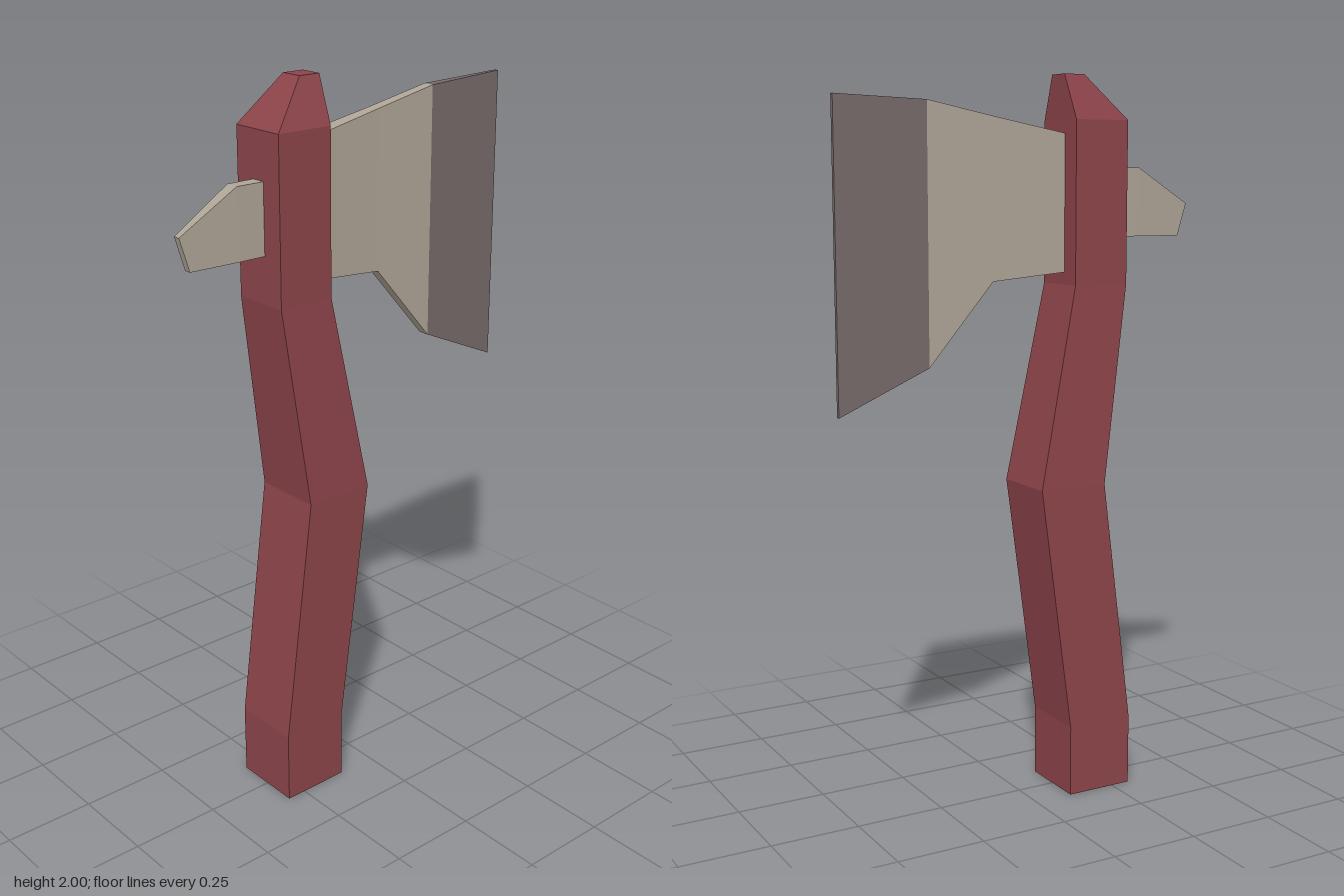
import * as THREE from 'three';

// Joins four-cornered rings into a closed, flat-shaded solid
function loft(name, rings, material, caps = [true, true]) {
  const pos = [];
  const quad = (a, b, c, d) => pos.push(...a, ...b, ...c, ...a, ...c, ...d);
  for (let r = 0; r < rings.length - 1; r++) {
    const a = rings[r], b = rings[r + 1];
    for (let i = 0; i < 4; i++) {
      const j = (i + 1) % 4;
      quad(a[i], a[j], b[j], b[i]);
    }
  }
  const s = rings[0], e = rings[rings.length - 1];
  if (caps[0]) quad(s[3], s[2], s[1], s[0]);
  if (caps[1]) quad(e[0], e[1], e[2], e[3]);
  const g = new THREE.BufferGeometry();
  g.setAttribute('position', new THREE.Float32BufferAttribute(pos, 3));
  g.computeVertexNormals();
  const mesh = new THREE.Mesh(g, material);
  mesh.name = name;
  return mesh;
}

// Horizontal ring for the handle
const levelRing = (y, x0, x1, h) => [[x0, y, h], [x1, y, h], [x1, y, -h], [x0, y, -h]];
// Upright ring for the head; the top may lean along x
const uprightRing = (x, y0, y1, h, xTop = x) =>
  [[x, y0, h], [x, y0, -h], [xTop, y1, -h], [xTop, y1, h]];

export function createModel() {
  const mat = (name, color) => {
    const m = new THREE.MeshStandardMaterial({ color, flatShading: true });
    m.name = name;
    return m;
  };
  const wood = mat('redWood', 0x8c444a);
  const steel = mat('paleSteel', 0xaea496);
  const dark = mat('darkSteel', 0x776a6a);

  const group = new THREE.Group();
  group.name = 'axe';

  // Bent handle with a sloped tip
  group.add(loft('handle', [
    levelRing(0, -0.305, -0.11, 0.1),
    levelRing(0.2, -0.305, -0.11, 0.1),
    levelRing(0.89, -0.215, -0.015, 0.1),
    levelRing(1.44, -0.29, -0.127, 0.083),
    levelRing(1.88, -0.29, -0.127, 0.083),
    levelRing(2, -0.182, -0.12, 0.032),
  ], wood));

  // Flaring blade
  const bevel = uprightRing(0.28, 1.235, 1.925, 0.016);
  group.add(loft('blade', [
    uprightRing(-0.2, 1.48, 1.83, 0.026),
    uprightRing(-0.127, 1.474, 1.845, 0.025),
    uprightRing(0.09, 1.455, 1.887, 0.018),
    bevel,
  ], steel, [true, false]));

  // Sharpened cutting edge
  group.add(loft('cuttingEdge', [
    bevel,
    uprightRing(0.535, 1.12, 1.935, 0.006),
  ], dark, [false, true]));

  // Rear spike
  group.add(loft('rearSpike', [
    uprightRing(-0.51, 1.565, 1.655, 0.01, -0.538),
    uprightRing(-0.37, 1.566, 1.755, 0.019),
    uprightRing(-0.22, 1.567, 1.755, 0.021),
  ], steel));

  return group;
}
